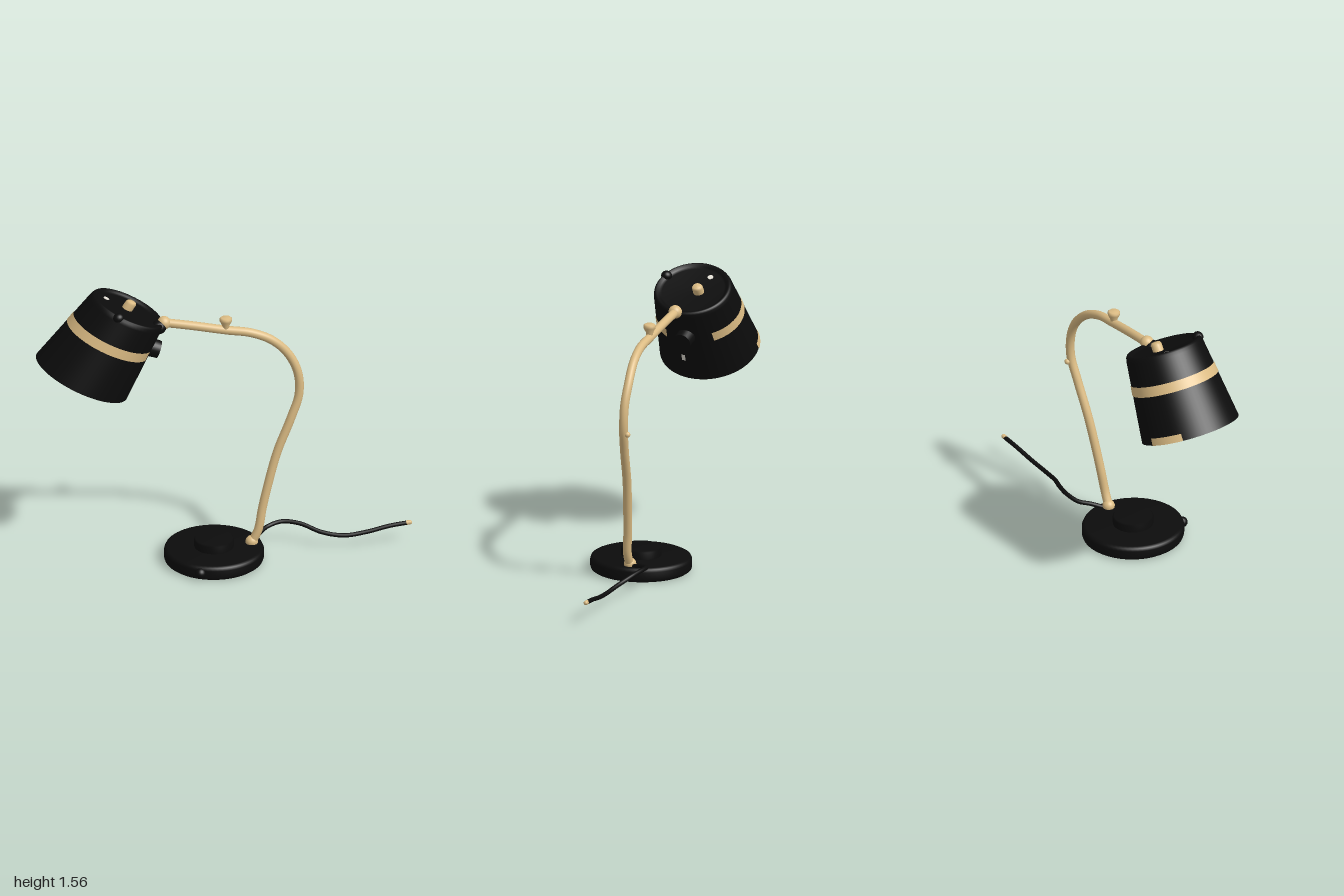
import * as THREE from 'three';

const V = (x, y, z) => new THREE.Vector3(x, y, z);
const rad = THREE.MathUtils.degToRad;

export function createModel() {
  const model = new THREE.Group();
  const black = new THREE.MeshStandardMaterial({ color: 0x0c0c0c, name: 'black' });
  const tan = new THREE.MeshStandardMaterial({ color: 0xdcbc84, name: 'tan' });
  const pale = new THREE.MeshStandardMaterial({ color: 0xe6e2d8, name: 'pale' });

  const add = (name, geo, mat, parent = model) => {
    const mesh = new THREE.Mesh(geo, mat);
    mesh.name = name;
    parent.add(mesh);
    return mesh;
  };
  const lathe = (pts, from = 0, sweep = 360, seg = 64) =>
    new THREE.LatheGeometry(pts.map(p => new THREE.Vector2(...p)), seg, rad(from), rad(sweep));
  const ball = (r, p) => new THREE.SphereGeometry(r, 20, 14).translate(...p);
  const tube = (pts, r, seg) =>
    new THREE.TubeGeometry(new THREE.CatmullRomCurve3(pts.map(p => V(...p))), seg, r, 14);

  // Weighted base with raised disc
  const base = new THREE.Group();
  base.name = 'base';
  base.position.set(-0.038, 0, 0.01);
  base.scale.z = 1.03;
  model.add(base);
  add('baseDisc', lathe([[0, 0], [0.255, 0], [0.266, 0.008], [0.27, 0.02], [0.27, 0.058],
    [0.264, 0.072], [0.25, 0.079], [0, 0.08]]), black, base);
  add('raisedDisc', lathe([[0.107, 0.075], [0.107, 0.12], [0.1, 0.128], [0, 0.13]]), black, base);
  add('baseTab', ball(0.03, [-0.04, 0.04, 0.262]), black, base);

  // Curved stem and arm
  const stem = [[0.165, 0.09, -0.05], [0.195, 0.16, -0.056], [0.215, 0.28, -0.072], [0.24, 0.4, -0.088],
    [0.29, 0.6, -0.117], [0.36, 0.79, -0.148], [0.402, 0.93, -0.17], [0.395, 1.06, -0.172],
    [0.345, 1.17, -0.164], [0.26, 1.26, -0.138], [0.15, 1.312, -0.108], [0.02, 1.333, -0.082],
    [-0.16, 1.363, -0.052], [-0.33, 1.387, -0.025]];
  add('stem', tube(stem, 0.024, 120), tan);
  add('stemFoot', ball(0.034, [0.16, 0.088, -0.05]), tan);
  add('armEnd', ball(0.037, [-0.315, 1.385, -0.025]), tan);
  add('stemButton', ball(0.016, [0.397, 0.9, -0.192]), tan);
  add('armKnob', lathe([[0.018, 0], [0.02, 0.035], [0.033, 0.06], [0.034, 0.075], [0.026, 0.082], [0, 0.083]], 0, 360, 24)
    .translate(0.015, 1.328, -0.08), tan);

  // Power cord with bare tip
  add('cord', tube([[0.17, 0.08, -0.08], [0.195, 0.1, -0.14], [0.23, 0.11, -0.2], [0.3, 0.125, -0.236],
    [0.4, 0.118, -0.237], [0.52, 0.085, -0.213], [0.64, 0.07, -0.218], [0.76, 0.083, -0.25],
    [0.88, 0.108, -0.288], [0.975, 0.12, -0.315]], 0.012, 80), black);
  const tip = add('cordTip', new THREE.CapsuleGeometry(0.0125, 0.016, 4, 12), tan);
  tip.position.set(0.98, 0.121, -0.316);
  tip.quaternion.setFromUnitVectors(V(0, 1, 0), V(0.95, 0.1, -0.28).normalize());

  // Shade frame: a slightly slanted cone, open end down and to the -x side
  const axis = V(0.25, 0.4, -0.055).normalize();
  const normal = V(0.41, 0.91, -0.13).normalize();
  const xAxis = V(0.91, -0.41, 0).normalize();
  const zAxis = xAxis.clone().cross(normal).normalize();
  const frame = new THREE.Matrix4().makeBasis(xAxis, axis, zAxis).setPosition(-0.755, 1.07, 0.045);
  const shade = new THREE.Group();
  shade.name = 'shade';
  model.add(shade);
  const addShade = (name, geo, mat) => add(name, geo.applyMatrix4(frame), mat, shade);
  const radius = y => 0.272 - 0.126 * y;

  addShade('shadeShell', lathe([[0.272, 0], [radius(0.2), 0.2], [radius(0.445), 0.445], [0.211, 0.463],
    [0.204, 0.473], [0.194, 0.474], [0.182, 0.465], [0.17, 0.457], [0, 0.455]]), black);
  addShade('shadeLining', lathe([[0, 0.435], [0.195, 0.43], [0.262, 0.002], [0.272, 0]]), tan);

  // Thin painted strips wrapped round the cone
  const strip = (name, y0, y1, from, sweep, mat) =>
    addShade(name, lathe([[radius(y0) + 0.003, y0], [radius(y1) + 0.003, y1]], from, sweep), mat);
  strip('shadeBand', 0.262, 0.317, 139, 294, tan);
  strip('rimPatch', 0, 0.04, 198, 42, tan);
  strip('sideMark', 0.13, 0.17, 92, 5, pale);

  // Fittings on the shade
  addShade('topKnob', lathe([[0.03, 0.45], [0.03, 0.492], [0.023, 0.504], [0, 0.506]], 0, 360, 20)
    .translate(0, 0, -0.035), tan);
  addShade('topMark', new THREE.CylinderGeometry(0.016, 0.016, 0.005, 12).translate(-0.126, 0.458, -0.035), pale);
  addShade('topBump', ball(0.03, [-0.04, 0.462, 0.19]), black);
  addShade('armSocket', ball(0.042, [0.195, 0.445, 0]), black);
  const knob = add('sideKnob', new THREE.CylinderGeometry(0.048, 0.052, 0.06, 28), black, shade);
  knob.position.set(-0.372, 1.22, -0.045);
  knob.quaternion.setFromUnitVectors(V(0, 1, 0), V(0.93, -0.32, -0.15).normalize());

  return model;
}
